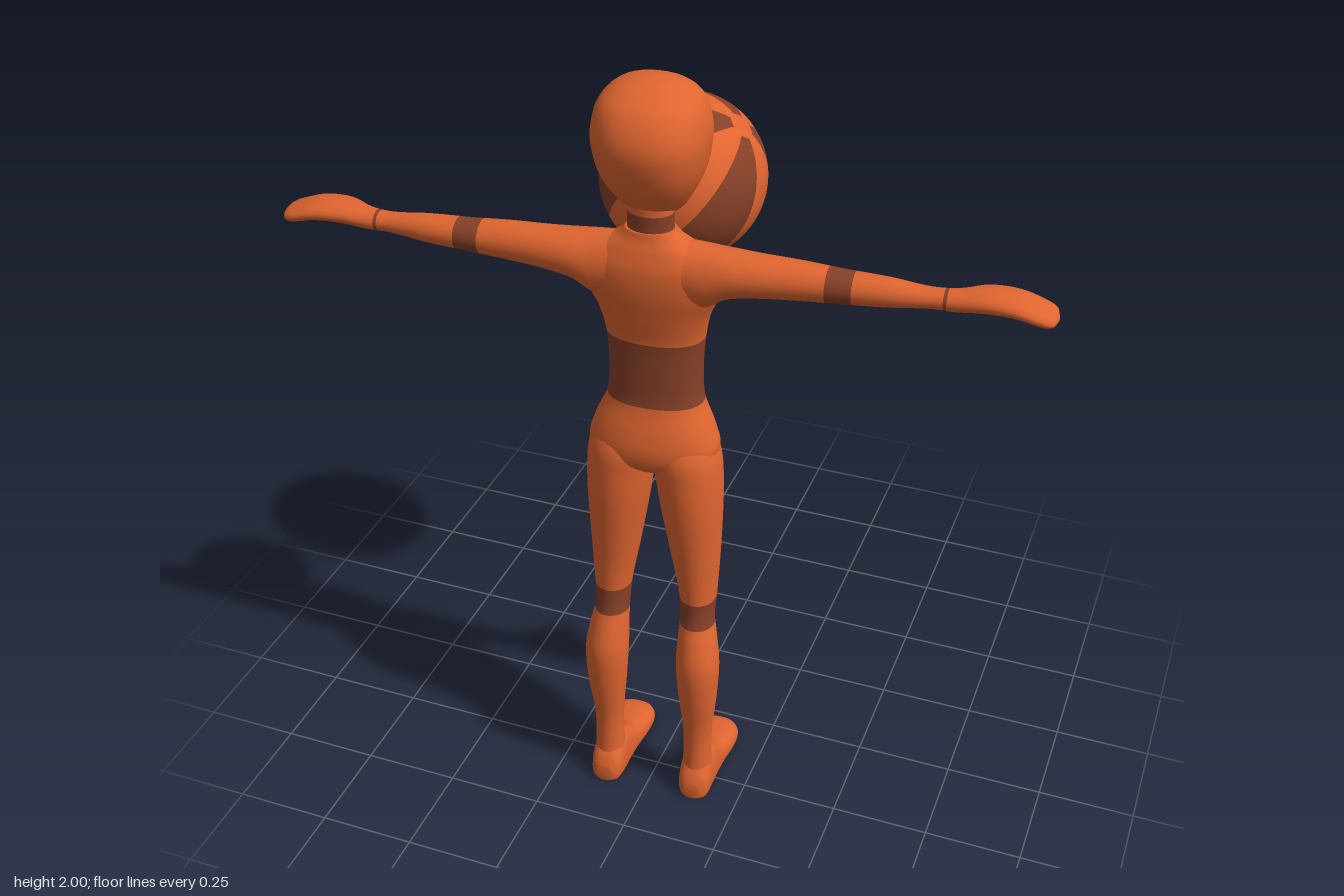
import * as THREE from 'three';

const skin = new THREE.MeshStandardMaterial({ color: 0xe06530 });
skin.name = 'orange';
const dark = new THREE.MeshStandardMaterial({ color: 0x874028 });
dark.name = 'brown';

// Smooth interpolation of the section rows [t, a0, a1, b0, b1]
function sample(rows, t) {
  let i = 0;
  while (i < rows.length - 2 && t > rows[i + 1][0]) i++;
  const p = rows[i], q = rows[i + 1], h = q[0] - p[0], u = (t - p[0]) / h;
  const slope = (k, c) => {
    const a = rows[Math.max(k - 1, 0)], b = rows[Math.min(k + 1, rows.length - 1)];
    return (b[c] - a[c]) / (b[0] - a[0]);
  };
  return [1, 2, 3, 4].map(c =>
    p[c] * (1 + 2 * u) * (1 - u) ** 2 + slope(i, c) * h * u * (1 - u) ** 2 +
    q[c] * u * u * (3 - 2 * u) + slope(i + 1, c) * h * u * u * (u - 1));
}

// Skin rounded sections along an axis; bands are [from, to] stretches in brown
function loft(name, axis, rows, { bands = [], mirror = false, power = 2, steps = 5 } = {}) {
  const N = 32, pos = [], idx = [];
  const stations = new Set(bands.flat());
  rows.forEach((r, i) => {
    stations.add(r[0]);
    if (i) for (let k = 1; k < steps; k++) {
      stations.add(rows[i - 1][0] + (r[0] - rows[i - 1][0]) * k / steps);
    }
  });
  const ts = [...stations].sort((a, b) => a - b);
  const put = (t, a, b) => {
    const [x, y, z] = axis === 'x' ? [t, a, b] : axis === 'y' ? [a, t, b] : [a, b, t];
    pos.push(mirror ? -x : x, Math.max(0, y), z);
  };
  const round = v => Math.sign(v) * Math.abs(v) ** (2 / power);
  for (const t of ts) {
    const [a0, a1, b0, b1] = sample(rows, t);
    for (let j = 0; j < N; j++) {
      const w = j / N * Math.PI * 2;
      put(t, (a0 + a1) / 2 + (a1 - a0) / 2 * round(Math.cos(w)),
        (b0 + b1) / 2 + (b1 - b0) / 2 * round(Math.sin(w)));
    }
  }
  const last = ts.length - 1, c0 = ts.length * N;
  for (const t of [ts[0], ts[last]]) {
    const [a0, a1, b0, b1] = sample(rows, t);
    put(t, (a0 + a1) / 2, (b0 + b1) / 2);
  }
  const geo = new THREE.BufferGeometry();
  for (let i = 0; i < last; i++) {
    const mid = (ts[i] + ts[i + 1]) / 2;
    geo.addGroup(idx.length, N * 6, bands.some(b => mid > b[0] && mid < b[1]) ? 1 : 0);
    for (let j = 0; j < N; j++) {
      const a = i * N + j, b = i * N + (j + 1) % N;
      idx.push(a, b, a + N, b, b + N, a + N);
    }
  }
  geo.addGroup(idx.length, N * 6, 0);
  for (let j = 0; j < N; j++) {
    const k = (j + 1) % N;
    idx.push(c0, k, j, c0 + 1, last * N + j, last * N + k);
  }
  // Turn the faces outward
  if ((axis === 'y') !== mirror) {
    for (let i = 0; i < idx.length; i += 3) [idx[i], idx[i + 1]] = [idx[i + 1], idx[i]];
  }
  geo.setAttribute('position', new THREE.Float32BufferAttribute(pos, 3));
  geo.setIndex(idx);
  geo.computeVertexNormals();
  const mesh = new THREE.Mesh(geo, [skin, dark]);
  mesh.name = name;
  return mesh;
}

function makeBall() {
  const ball = new THREE.Group();
  ball.name = 'ball';
  const r = 0.21, cap = 0.17, step = Math.PI / 4;
  const add = (name, mat, ...args) => {
    const m = new THREE.Mesh(new THREE.SphereGeometry(r, ...args), mat);
    m.name = name;
    ball.add(m);
  };
  // Eight alternating panels and two end caps
  for (let k = 0; k < 8; k++) {
    add('ballPanel', k % 2 ? dark : skin, 8, 32, (k - 0.5) * step, step, cap, Math.PI - 2 * cap);
  }
  add('ballCap', skin, 64, 3, 0, Math.PI * 2, 0, cap);
  add('ballCap', skin, 64, 3, 0, Math.PI * 2, Math.PI - cap, cap);
  const X = new THREE.Vector3(0.71, -0.7, 0).normalize();
  const Z = X.clone().cross(new THREE.Vector3(0.7, 0.71, -0.07)).normalize();
  ball.quaternion.setFromRotationMatrix(new THREE.Matrix4().makeBasis(X, Z.clone().cross(X), Z));
  ball.position.set(-0.085, 1.56, -0.183);
  return ball;
}

export function createModel() {
  const model = new THREE.Group();
  const figure = new THREE.Group();
  figure.name = 'figure';

  // Rows: height, x range, z range
  figure.add(loft('torso', 'y', [
    [1.0, -0.09, 0.09, 0.2, 0.3], [1.03, -0.145, 0.145, 0.17, 0.33],
    [1.07, -0.162, 0.162, 0.16, 0.338], [1.12, -0.15, 0.15, 0.158, 0.33],
    [1.19, -0.12, 0.12, 0.158, 0.31], [1.27, -0.114, 0.114, 0.156, 0.305],
    [1.36, -0.12, 0.12, 0.153, 0.305], [1.43, -0.135, 0.135, 0.153, 0.318],
    [1.5, -0.165, 0.165, 0.16, 0.33], [1.56, -0.165, 0.165, 0.18, 0.33],
    [1.605, -0.12, 0.12, 0.2, 0.318], [1.63, -0.078, 0.078, 0.21, 0.308],
    [1.65, -0.058, 0.058, 0.215, 0.303],
  ], { bands: [[1.19, 1.36]], power: 2.2 }));
  figure.add(loft('neck', 'y', [
    [1.61, -0.065, 0.065, 0.21, 0.308], [1.65, -0.055, 0.055, 0.217, 0.303],
    [1.72, -0.055, 0.055, 0.215, 0.305],
  ], { bands: [[1.64, 1.69]] }));
  figure.add(loft('head', 'y', [
    [1.662, -0.025, 0.025, 0.13, 0.19], [1.675, -0.055, 0.055, 0.113, 0.25],
    [1.72, -0.085, 0.085, 0.105, 0.318], [1.78, -0.115, 0.115, 0.1, 0.363],
    [1.85, -0.13, 0.13, 0.094, 0.388], [1.9, -0.129, 0.129, 0.1, 0.386],
    [1.95, -0.114, 0.114, 0.127, 0.36], [1.98, -0.083, 0.083, 0.163, 0.32],
    [1.995, -0.043, 0.043, 0.2, 0.282], [2.0, -0.005, 0.005, 0.238, 0.245],
  ], { power: 2.3 }));

  for (const mirror of [false, true]) {
    const s = mirror ? -1 : 1;
    // Arm with its hand; rows: x, height range, z range
    figure.add(loft('arm', 'x', [
      [0.06, 1.48, 1.625, 0.2, 0.32], [0.13, 1.465, 1.62, 0.195, 0.323],
      [0.18, 1.495, 1.616, 0.2, 0.322], [0.25, 1.51, 1.612, 0.207, 0.317],
      [0.35, 1.518, 1.608, 0.212, 0.308], [0.44, 1.524, 1.602, 0.217, 0.303],
      [0.55, 1.532, 1.598, 0.224, 0.297], [0.64, 1.54, 1.588, 0.229, 0.284],
      [0.7, 1.54, 1.59, 0.22, 0.285], [0.76, 1.545, 1.598, 0.195, 0.29],
      [0.83, 1.545, 1.594, 0.188, 0.294], [0.89, 1.533, 1.575, 0.192, 0.291],
      [0.912, 1.535, 1.564, 0.205, 0.278], [0.92, 1.544, 1.552, 0.235, 0.25],
    ], { bands: [[0.41, 0.47], [0.67, 0.678]], mirror }));

    // Thumb
    const path = new THREE.CatmullRomCurve3([
      [0.7, 1.56, 0.245], [0.735, 1.545, 0.205], [0.765, 1.53, 0.175], [0.8, 1.514, 0.152],
    ].map(([x, y, z]) => new THREE.Vector3(s * x, y, z)));
    const thumb = new THREE.Mesh(new THREE.TubeGeometry(path, 12, 0.016, 12), skin);
    thumb.name = 'thumb';
    const tip = new THREE.Mesh(new THREE.SphereGeometry(0.016, 12, 10), skin);
    tip.name = 'thumbTip';
    tip.position.copy(path.getPoint(1));
    figure.add(thumb, tip);

    // Leg; rows: height, x range, z range
    figure.add(loft('leg', 'y', [
      [0.03, 0.082, 0.16, 0.265, 0.345], [0.1, 0.084, 0.16, 0.255, 0.335],
      [0.2, 0.084, 0.16, 0.255, 0.333], [0.32, 0.073, 0.173, 0.25, 0.348],
      [0.43, 0.066, 0.178, 0.238, 0.354], [0.5, 0.068, 0.168, 0.228, 0.337],
      [0.56, 0.069, 0.157, 0.216, 0.316], [0.63, 0.064, 0.16, 0.2, 0.312],
      [0.75, 0.042, 0.166, 0.182, 0.32], [0.9, 0.016, 0.171, 0.165, 0.336],
      [1.0, 0.002, 0.17, 0.162, 0.338], [1.06, -0.005, 0.162, 0.165, 0.333],
      [1.13, 0.01, 0.135, 0.185, 0.3],
    ], { bands: [[0.545, 0.62]], mirror }));

    // Foot; rows: z, x range, height range with the sole cut flat
    figure.add(loft('foot', 'z', [
      [0.056, 0.1, 0.14, 0, 0.025], [0.063, 0.078, 0.162, -0.01, 0.036],
      [0.09, 0.062, 0.18, -0.02, 0.046], [0.14, 0.062, 0.18, -0.025, 0.055],
      [0.19, 0.07, 0.172, -0.03, 0.068], [0.24, 0.076, 0.167, -0.04, 0.105],
      [0.3, 0.078, 0.165, -0.04, 0.12], [0.34, 0.084, 0.16, -0.02, 0.08],
      [0.356, 0.1, 0.142, 0, 0.045],
    ], { power: 2.4, mirror }));

    // Eye
    const eye = new THREE.Mesh(new THREE.SphereGeometry(0.03, 24, 16), dark);
    eye.name = 'eye';
    eye.scale.z = 0.6;
    eye.rotation.y = -s * 0.4;
    eye.position.set(s * 0.077, 1.845, 0.112);
    figure.add(eye);
  }

  figure.rotation.y = 0.07;
  figure.position.x = -0.015;
  model.add(figure, makeBall());
  return model;
}
